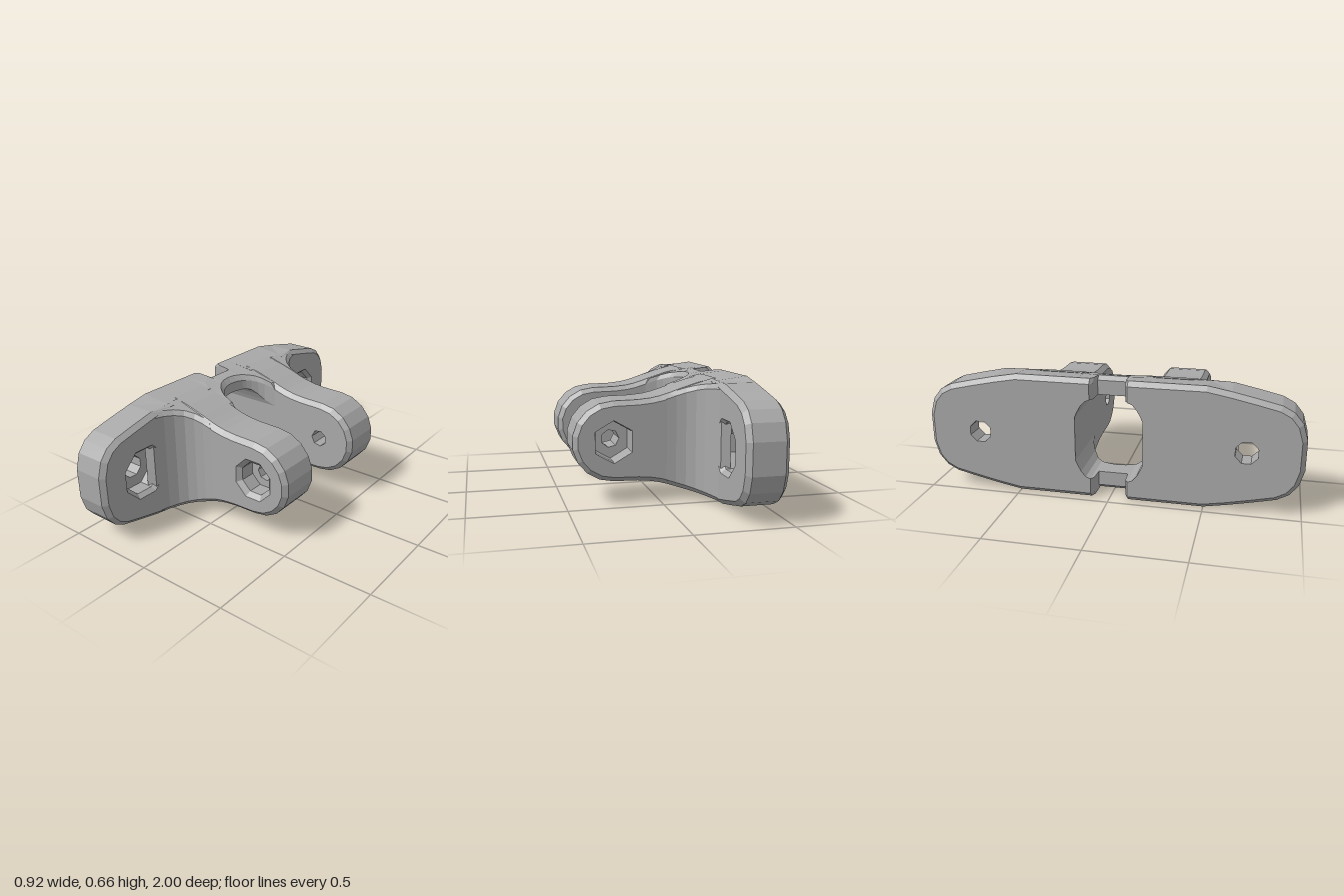
import * as THREE from 'three';

const MID = 0.33; // height of the horizontal symmetry plane
const CH = 0.025; // edge chamfer

// Piecewise linear lookup
function lookup(table, t) {
  if (t <= table[0][0]) return table[0][1];
  for (let i = 1; i < table.length; i++) {
    const [a, fa] = table[i - 1], [b, fb] = table[i];
    if (t <= b) return fa + (fb - fa) * (t - a) / (b - a);
  }
  return table[table.length - 1][1];
}

// Half height of the body along x, and of the flange along z
const SIDE = [[-0.44, 0.33], [-0.37, 0.325], [-0.3, 0.315], [-0.2, 0.293], [-0.1, 0.262],
  [-0.05, 0.245], [0, 0.23], [0.05, 0.22], [0.12, 0.213], [0.25, 0.21]];
const FLANGE = [[0.155, 0.33], [0.32, 0.33], [0.5, 0.33], [0.62, 0.308], [0.75, 0.28],
  [0.87, 0.252], [0.93, 0.22], [0.975, 0.165], [1, 0.08]];
const half = (x) => lookup(SIDE, x);

// Collects flat triangles, placing local (u, v, w) points in the model
class Builder {
  constructor(place, flip) {
    this.place = place;
    this.flip = flip;
    this.pos = [];
  }
  tri(a, b, c) {
    for (const p of this.flip ? [a, c, b] : [a, b, c]) this.pos.push(...this.place(...p));
  }
  // Joins a list of equal closed rings
  loft(rings) {
    for (let k = 1; k < rings.length; k++) {
      const A = rings[k - 1], B = rings[k], n = A.length;
      for (let i = 0; i < n; i++) {
        const j = (i + 1) % n;
        this.tri(A[i], A[j], B[j]);
        this.tri(A[i], B[j], B[i]);
      }
    }
  }
  // Fills a ring, leaving an optional hole
  cap(ring, hole, up) {
    const v2 = (r) => r.map((p) => new THREE.Vector2(p[0], p[1]));
    const all = hole ? [...ring, ...hole] : ring;
    for (const [i, j, k] of THREE.ShapeUtils.triangulateShape(v2(ring), hole ? [v2(hole)] : [])) {
      const a = all[i], b = all[j], c = all[k];
      const ccw = (b[0] - a[0]) * (c[1] - a[1]) - (b[1] - a[1]) * (c[0] - a[0]) > 0;
      if (ccw === up) this.tri(a, b, c);
      else this.tri(a, c, b);
    }
  }
  mesh(name, material) {
    const g = new THREE.BufferGeometry();
    g.setAttribute('position', new THREE.Float32BufferAttribute(this.pos, 3));
    g.computeVertexNormals();
    const m = new THREE.Mesh(g, material);
    m.name = name;
    return m;
  }
}

// Moves a counter-clockwise outline inward
function inset(pts, d) {
  const n = pts.length;
  const normal = (a, b) => {
    const l = Math.hypot(b[0] - a[0], b[1] - a[1]);
    return [(a[1] - b[1]) / l, (b[0] - a[0]) / l];
  };
  return pts.map((p, i) => {
    const m = normal(pts[(i + n - 1) % n], p), q = normal(p, pts[(i + 1) % n]);
    const s = d / (1 + m[0] * q[0] + m[1] * q[1]);
    return [p[0] + (m[0] + q[0]) * s, p[1] + (m[1] + q[1]) * s];
  });
}

const at = (pts, w) => pts.map((p) => [p[0], p[1], w]);

function polygon(cu, r, n) {
  return Array.from({ length: n }, (_, i) => {
    const a = (i + 0.5) / n * Math.PI * 2;
    return [cu + r * Math.cos(a), r * Math.sin(a)];
  });
}

// Chamfered slab with a stepped bolt hole: wide recess at the top, narrow bore below
function boltSlab(b, outline, depth, hole) {
  const small = inset(outline, CH);
  const { u, bore, boreSides, rim, seat, sides, floor } = hole;
  const boreRing = polygon(u, bore, boreSides);
  const rimRing = polygon(u, rim, sides), seatRing = polygon(u, seat, sides);
  b.cap(at(small, 0), at(boreRing, 0), false);
  b.loft([at(small, 0), at(outline, CH), at(outline, depth - CH), at(small, depth)]);
  b.cap(at(small, depth), at(rimRing, depth), true);
  b.loft([at(rimRing, depth), at(seatRing, depth - 0.025), at(seatRing, floor)]);
  b.cap(at(seatRing, floor), at(boreRing, floor), true);
  b.loft([at(boreRing, floor), at(boreRing, 0)]);
}

export function createModel() {
  const group = new THREE.Group();
  group.name = 'clevisBracket';
  const grey = new THREE.MeshStandardMaterial({ color: 0xa9a9a9 });
  grey.name = 'grey';

  const flangeOutline = [
    ...FLANGE.map(([z, h]) => [z, -h]),
    ...[...FLANGE].reverse().map(([z, h]) => [z, h]),
  ];
  const armEdge = SIDE.filter(([x]) => x >= -0.3);
  const armEnd = [];
  for (let i = 1; i < 9; i++) {
    const a = -Math.PI / 2 + i * Math.PI / 9;
    armEnd.push([0.25 + 0.213 * Math.cos(a), 0.21 * Math.sin(a)]);
  }
  const armOutline = [
    ...armEdge.map(([x, h]) => [x, -h]), ...armEnd,
    ...[...armEdge].reverse().map(([x, h]) => [x, h]),
  ];
  // Plan of the curved web between flange and arm, as (z, x)
  const webPlan = [[0.4, -0.3], [0.66, -0.3], [0.64, -0.255], [0.57, -0.235], [0.52, -0.21],
    [0.48, -0.175], [0.455, -0.13], [0.443, -0.08], [0.44, -0.03], [0.4, -0.03]];

  for (const s of [1, -1]) {
    const side = s > 0 ? 'front' : 'back';

    // Flange half with a recessed mounting hole
    const flange = new Builder((u, v, w) => {
      const x = -0.465 + w, h = half(x);
      return [x, MID + Math.max(-h, Math.min(h, v)), s * Math.max(u, 0.18)];
    }, s > 0);
    boltSlab(flange, flangeOutline, 0.215,
      { u: 0.71, bore: 0.062, boreSides: 8, rim: 0.15, seat: 0.128, sides: 8, floor: 0.11 });
    group.add(flange.mesh(side + 'Flange', grey));

    // Rounded arm; one recess is round-ish, the other holds a hexagonal nut
    const arm = new Builder((u, v, w) => [u, MID + v, s * (0.18 + w)], s < 0);
    boltSlab(arm, armOutline, 0.26, {
      u: 0.25, bore: 0.048, boreSides: 7, rim: s > 0 ? 0.12 : 0.112,
      seat: s > 0 ? 0.093 : 0.106, sides: s > 0 ? 8 : 6, floor: 0.15,
    });
    group.add(arm.mesh(side + 'Arm', grey));

    // Curved web
    const web = new Builder((u, v, w) => [v, MID + w, s * u], s < 0);
    const height = (p) => Math.min(half(p[1]), lookup(FLANGE, p[0]));
    const inner = inset(webPlan, 0.02);
    const ring = (pts, sign, drop) =>
      pts.map((p, i) => [p[0], p[1], sign * (height(webPlan[i]) - drop)]);
    const rings = [ring(inner, -1, 0), ring(webPlan, -1, CH), ring(webPlan, 1, CH), ring(inner, 1, 0)];
    web.cap(rings[0], null, false);
    web.loft(rings);
    web.cap(rings[3], null, true);
    group.add(web.mesh(side + 'Web', grey));
  }

  // Bridges above and below the central opening, notched at the rear
  const stations = [0, 0.045, 0.08, 0.085, 0.1, 0.125, 0.15, 0.168, 0.18, 0.205];
  const zs = [...stations.slice(1).reverse().map((z) => -z), ...stations];
  for (const s of [1, -1]) {
    const bridge = new Builder((u, v, w) => [u, MID + s * v, w], s < 0);
    const rings = zs.map((z) => {
      const a = Math.min(Math.abs(z), 0.18);
      const front = -0.07 - Math.sqrt(Math.max(0, 0.0324 - a * a));
      const back = a <= 0.08 ? -0.36 : a < 0.1 ? -0.44 : -0.465;
      const under = 0.22 - 0.1 * Math.max(0, (a - 0.1) / 0.08) ** 2;
      const m = (front + back) / 2;
      return [[back, under, z], [front, under, z], [front, half(front) - CH, z],
        [front - CH, half(front - CH), z], [m, half(m), z],
        [back + CH, half(back + CH), z], [back, half(back) - CH, z]];
    });
    bridge.cap(rings[0], null, false);
    bridge.loft(rings);
    bridge.cap(rings[rings.length - 1], null, true);
    group.add(bridge.mesh(s > 0 ? 'upperBridge' : 'lowerBridge', grey));
  }
  return group;
}
